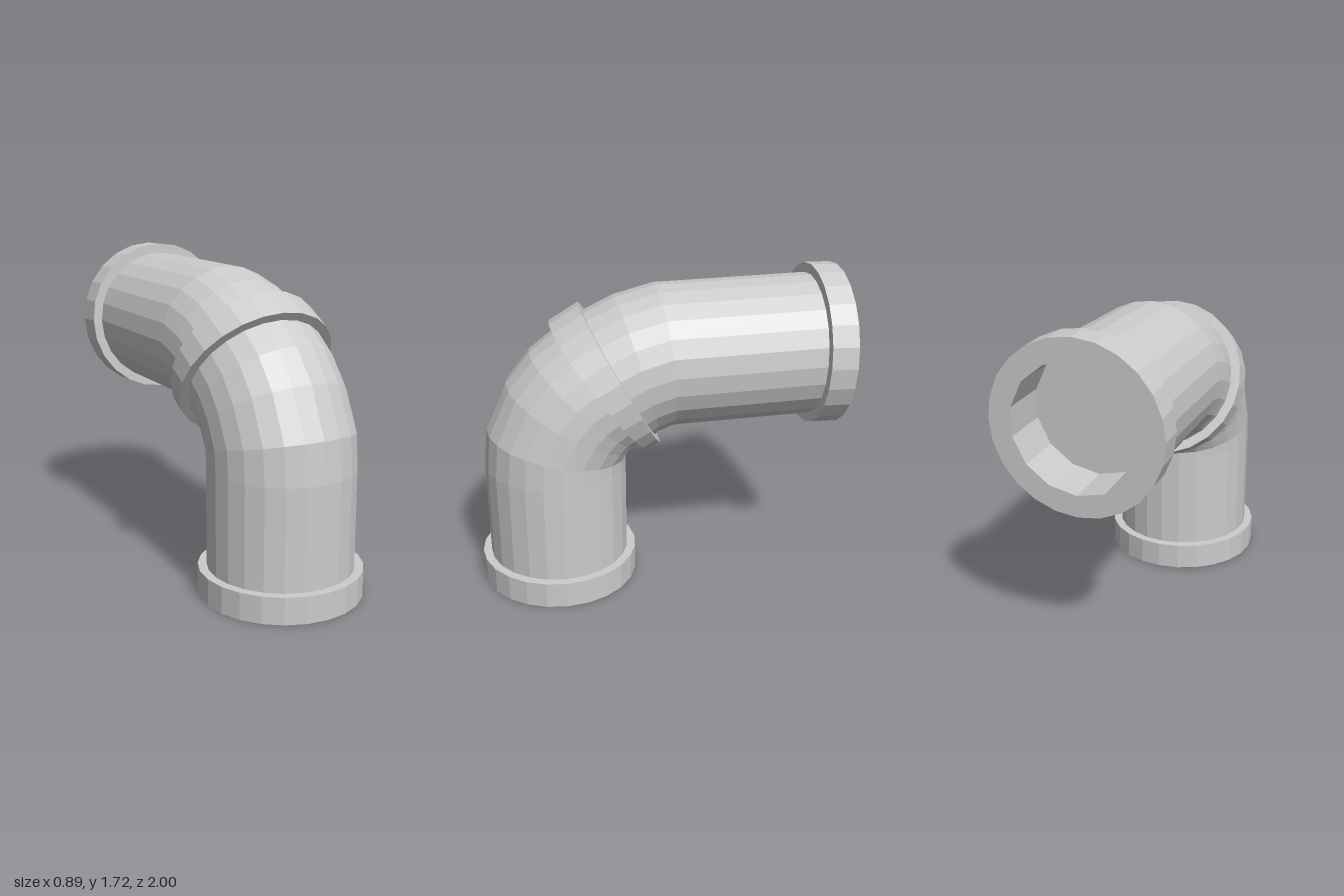
import * as THREE from 'three';

const SIDES = 24;
const rad = THREE.MathUtils.degToRad;
const material = new THREE.MeshStandardMaterial({ color: 0xcccccc, flatShading: true });
const boreMaterial = new THREE.MeshStandardMaterial({ color: 0xcccccc, flatShading: true, side: THREE.BackSide });

function mesh(name, geometry, mat = material) {
  const m = new THREE.Mesh(geometry, mat);
  m.name = name;
  return m;
}

// Skin over circular sections, each given as [z, y, tilt in degrees, radius]
function loft(sections) {
  const positions = [], index = [];
  for (const [z, y, tilt, r] of sections) {
    for (let j = 0; j < SIDES; j++) {
      const a = (j / SIDES) * Math.PI * 2, up = r * Math.sin(a);
      positions.push(r * Math.cos(a), y + up * Math.sin(rad(tilt)), z + up * Math.cos(rad(tilt)));
    }
  }
  for (let i = 0; i < sections.length - 1; i++) {
    for (let j = 0; j < SIDES; j++) {
      const k = (j + 1) % SIDES, a = i * SIDES, b = a + SIDES;
      index.push(a + j, b + j, b + k, a + j, b + k, a + k);
    }
  }
  const g = new THREE.BufferGeometry();
  g.setAttribute('position', new THREE.Float32BufferAttribute(positions, 3));
  g.setIndex(index);
  g.computeVertexNormals();
  return g;
}

function polygon(r, n) {
  return Array.from({ length: n }, (_, i) => {
    const a = (i / n) * Math.PI * 2;
    return new THREE.Vector2(r * Math.sin(a), -r * Math.cos(a));
  });
}

// Thick end flange with a recessed bore; the mouth faces local +z
function socket(name, radius, boreRadius, boreSides, depth) {
  const thickness = 0.145;
  const group = new THREE.Group();
  group.name = name;

  const shape = new THREE.Shape(polygon(radius, SIDES));
  shape.holes.push(new THREE.Path(polygon(boreRadius, boreSides)));
  const flange = new THREE.ExtrudeGeometry(shape, { depth: thickness, bevelEnabled: false });
  flange.translate(0, 0, -thickness);

  const length = depth - thickness;
  const bore = new THREE.CylinderGeometry(boreRadius, boreRadius, length, boreSides, 1, true);
  bore.rotateX(Math.PI / 2).translate(0, 0, -thickness - length / 2);

  const floor = new THREE.CircleGeometry(boreRadius, SIDES);
  floor.translate(0, 0, -depth);

  group.add(mesh(name + 'Flange', flange), mesh(name + 'Bore', bore, boreMaterial), mesh(name + 'Floor', floor));
  return group;
}

export function createModel() {
  const model = new THREE.Group();
  model.name = 'pipeElbow';

  // Bent pipe
  const R = 0.39;
  const path = [
    [0.563, 0.05, 0], [0.563, 0.69, -1], [0.553, 0.81, 13], [0.48, 0.955, 31],
    [0.40, 1.05, 44], [0.31, 1.115, 54], [0.20, 1.178, 61.5], [0.11, 1.225, 74],
    [-0.035, 1.267, 85], [-0.92, 1.28, 91],
  ];
  model.add(mesh('pipe', loft(path.map((p) => [...p, R]))));

  // Joint collar around the middle of the bend
  const front = [0.31, 1.115, 54], back = [0.20, 1.178, 61.5];
  model.add(mesh('collar', loft([
    [...front, 0.37], [...front, 0.44], [...back, 0.44], [...back, 0.37],
  ])));

  // End sockets
  const lower = socket('lowerSocket', 0.437, 0.325, 20, 0.5);
  lower.position.set(0, 0, 0.563);
  lower.rotation.x = Math.PI / 2;

  const upper = socket('upperSocket', 0.443, 0.33, 14, 0.26);
  upper.position.set(0, 1.277, -0.99);
  upper.rotation.x = Math.PI - rad(1.3);

  model.add(lower, upper);
  return model;
}
